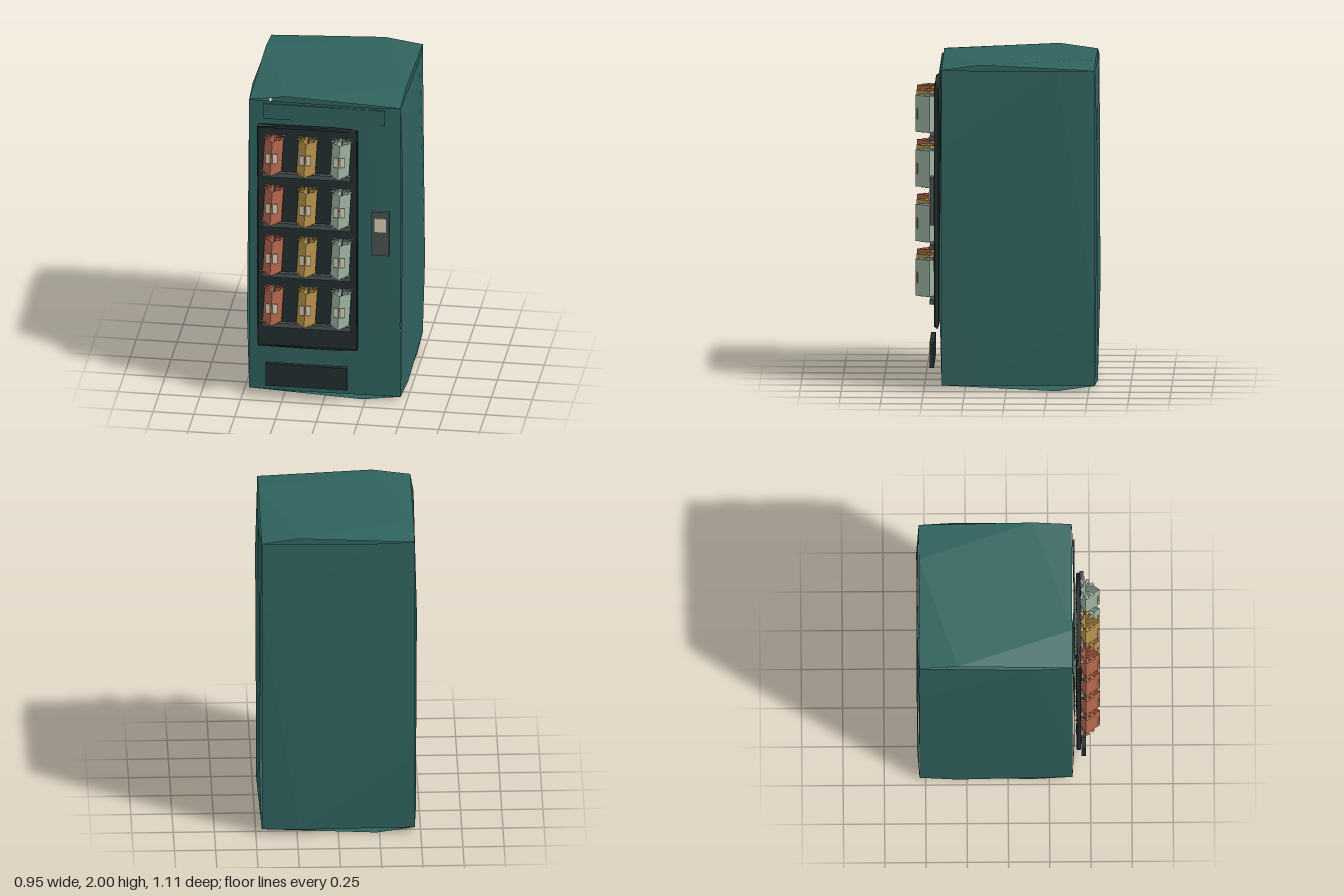
import * as THREE from 'three';

const mat = (name, color) => {
  const m = new THREE.MeshStandardMaterial({ color, side: THREE.DoubleSide, flatShading: true });
  m.name = name;
  return m;
};

function geometryFrom(points) {
  const g = new THREE.BufferGeometry().setFromPoints(points);
  g.computeVertexNormals();
  return g;
}

// Six loose, slightly swollen sheets: low corners, raised points a quarter along each edge
function swollenBox(w, h, d, bulge) {
  const half = new THREE.Vector3(w / 2, h / 2, d / 2);
  const V = (x, y, z) => new THREE.Vector3(x, y, z);
  const faces = [
    [V(1, 0, 0), V(0, 1, 0)], [V(-1, 0, 0), V(0, 1, 0)],
    [V(0, 0, -1), V(0, 1, 0)], [V(0, 0, 1), V(0, 1, 0)],
    [V(1, 0, 0), V(0, 0, -1)], [V(1, 0, 0), V(0, 0, 1)],
  ];
  const points = [];
  for (const [u, v] of faces) {
    const n = u.clone().cross(v);
    const corners = [[-1, -1], [1, -1], [1, 1], [-1, 1]].map(([a, b]) =>
      n.clone().addScaledVector(u, a).addScaledVector(v, b).multiply(half));
    const lift = n.clone().multiply(bulge);
    const edges = corners.map((c, i) => c.clone().lerp(corners[(i + 1) % 4], 0.25).add(lift));
    points.push(edges[0], edges[1], edges[2], edges[0], edges[2], edges[3]);
    corners.forEach((c, i) => points.push(edges[(i + 3) % 4], c, edges[i]));
  }
  return geometryFrom(points);
}

// Open wedge walls of a package, leaning a little to one side
function packageWalls(height) {
  const lean = 0.007;
  const plan = [[-0.058, 0], [0, 0.085], [0.058, 0], [0, -0.03]];
  const at = ([x, z], top) => new THREE.Vector3(x + (top ? lean : -lean), top ? height / 2 : -height / 2, z);
  const points = [];
  plan.forEach((p, i) => {
    const q = plan[(i + 1) % 4];
    const a = at(p, false), b = at(q, false), c = at(q, true), d = at(p, true);
    points.push(a, b, c, a, c, d);
  });
  return geometryFrom(points);
}

// Ring of separate petals closing an end of a package
function packagePetals() {
  const points = [];
  const count = 10;
  for (let i = 0; i < count; i++) {
    const a = ((i + 0.5) / count) * Math.PI * 2 - Math.PI / 2 + Math.PI / count;
    const p = (r, t) => new THREE.Vector3(Math.cos(t) * r, 0, Math.sin(t) * r);
    if (Math.abs(Math.cos(a)) < 0.1) continue;
    points.push(p(0.012, a), p(0.068, a + 0.17), p(0.068, a - 0.17));
  }
  return geometryFrom(points);
}

export function createModel() {
  const root = new THREE.Group();
  root.name = 'vendingMachine';

  const teal = mat('teal cabinet', 0x2f625e);
  const dark = mat('dark panel', 0x232d2e);
  const grey = mat('grey metal', 0x465152);
  const cream = mat('cream label', 0xd6ccb4);
  const packColors = [mat('red package', 0xb5674f), mat('gold package', 0xb8924c), mat('pale green package', 0x9db3a3)];

  const add = (parent, name, geometry, material, x, y, z) => {
    const m = new THREE.Mesh(geometry, material);
    m.name = name;
    m.position.set(x, y, z);
    parent.add(m);
    return m;
  };
  // Box given by its limits
  const box = (name, material, x0, x1, y0, y1, z0, z1) =>
    add(root, name, new THREE.BoxGeometry(x1 - x0, y1 - y0, z1 - z0), material,
      (x0 + x1) / 2, (y0 + y1) / 2, (z0 + z1) / 2);

  // Cabinet and header plate
  add(root, 'cabinet', swollenBox(0.928, 1.93, 0.928, new THREE.Vector3(0.013, 0.033, 0.014)), teal, 0, 1, -0.073);
  box('headerPlate', teal, -0.375, 0.37, 1.85, 1.95, 0.4, 0.408);

  // Display panel
  add(root, 'displayPanel', swollenBox(0.604, 1.455, 0.026, new THREE.Vector3(0.006, 0.014, 0.003)), dark, -0.1, 1.082, 0.429);

  // Shelves with three packages each
  const height = 0.228;
  const walls = packageWalls(height);
  const petals = packagePetals();
  const labelGeometry = new THREE.BoxGeometry(0.03, 0.064, 0.004);
  for (let row = 0; row < 4; row++) {
    const shelfY = 0.5 + row * 0.335;
    box('shelf', grey, -0.375, 0.17, shelfY - 0.015, shelfY + 0.015, 0.435, 0.47);
    packColors.forEach((material, col) => {
      const pack = new THREE.Group();
      pack.name = 'package';
      pack.position.set(-0.305 + col * 0.207, shelfY + 0.145, 0.472);
      add(pack, 'packageWalls', walls, material, 0, 0, 0);
      for (const s of [-1, 1]) {
        add(pack, 'packagePetals', petals, material, s * 0.007, s * height / 2, -0.005);
        const label = add(pack, 'packageLabel', labelGeometry, cream, s * 0.021, 0, 0.075);
        label.rotation.y = s * 0.15;
      }
      root.add(pack);
    });
  }

  // Payment panel with its screen
  box('paymentPanel', grey, 0.297, 0.405, 1.005, 1.295, 0.44, 0.463);
  box('paymentScreen', cream, 0.315, 0.385, 1.165, 1.255, 0.463, 0.469);

  // Delivery slot
  box('deliverySlot', dark, -0.352, 0.148, 0.093, 0.24, 0.445, 0.473);

  return root;
}
